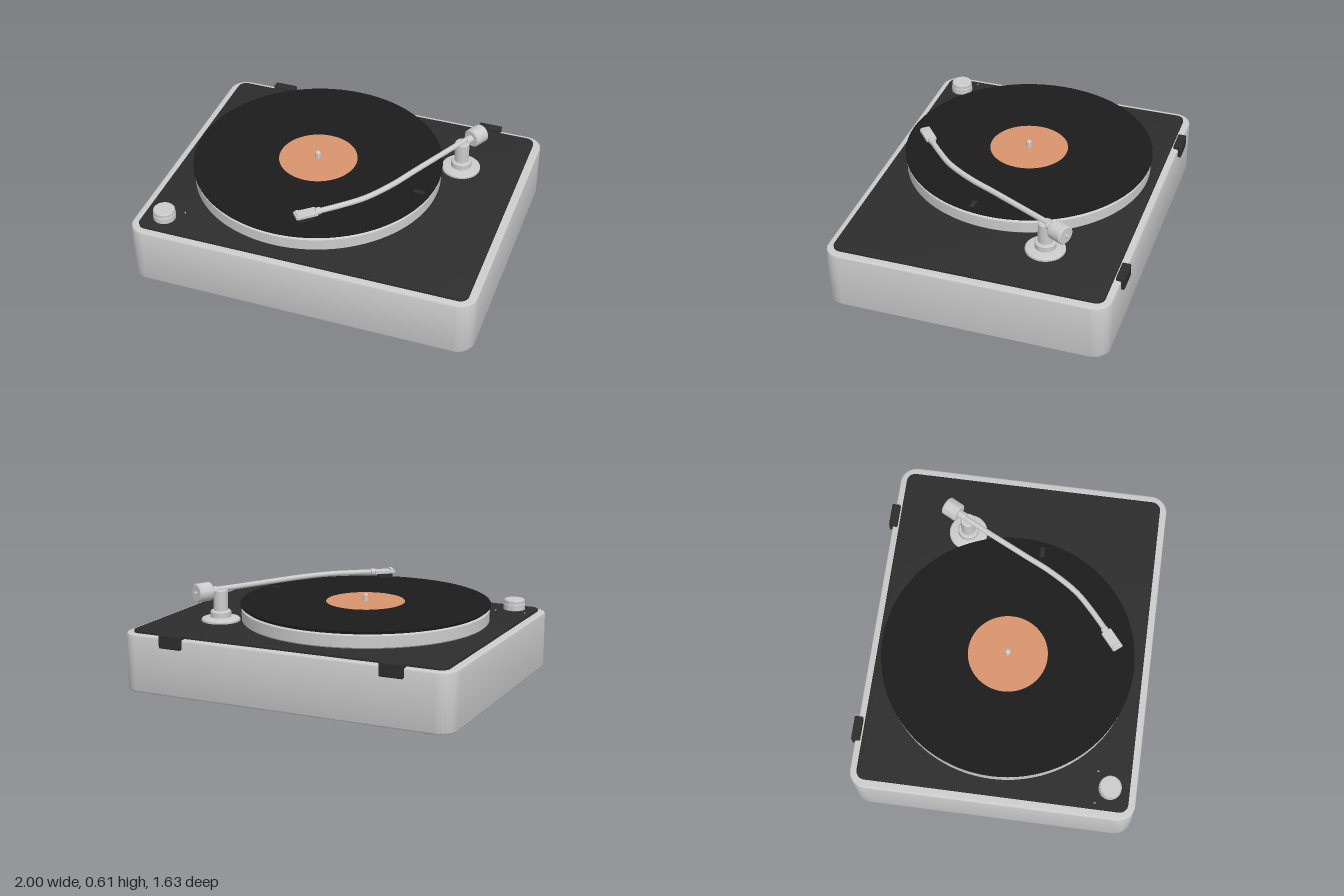
import * as THREE from 'three';
import { toCreasedNormals } from 'three/addons/utils/BufferGeometryUtils.js';
import { RoundedBoxGeometry } from 'three/addons/geometries/RoundedBoxGeometry.js';

const mat = (color) => new THREE.MeshStandardMaterial({ color });

export function createModel() {
  const root = new THREE.Group();
  const grey = mat(0xcccccc), black = mat(0x2d2d2d), vinyl = mat(0x1b1b1b), copper = mat(0xd8946e);

  const add = (name, geometry, material, x = 0, y = 0, z = 0, parent = root) => {
    const mesh = new THREE.Mesh(geometry, material);
    mesh.name = name;
    mesh.position.set(x, y, z);
    parent.add(mesh);
    return mesh;
  };

  // Upright slab with rounded corners and bevelled top and bottom edges
  const slab = (w, d, h, r, bevel) => {
    const a = w / 2 - bevel, b = d / 2 - bevel, k = r - bevel, q = Math.PI / 2;
    const s = new THREE.Shape();
    s.absarc(a - k, b - k, k, 0, q);
    s.absarc(-a + k, b - k, k, q, 2 * q);
    s.absarc(-a + k, -b + k, k, 2 * q, 3 * q);
    s.absarc(a - k, -b + k, k, 3 * q, 4 * q);
    const g = new THREE.ExtrudeGeometry(s, {
      depth: h - 2 * bevel, bevelEnabled: true, bevelSize: bevel, bevelThickness: bevel,
      bevelSegments: 3, curveSegments: 10,
    });
    g.rotateX(-Math.PI / 2).translate(0, bevel, 0);
    return toCreasedNormals(g, 0.6);
  };

  // Solid of revolution from [radius, height] pairs, bottom to top
  const turned = (points, segments = 48) => toCreasedNormals(
    new THREE.LatheGeometry(points.map(([r, y]) => new THREE.Vector2(r, y)), segments), 0.6);
  const disc = (r, h, bevel, segments) => turned(
    [[0, 0], [r - bevel, 0], [r, bevel], [r, h - bevel], [r - bevel, h], [0, h]], segments);

  // Plinth and top plate
  add('plinth', slab(2, 1.61, 0.335, 0.1, 0.01), grey, 0, 0.025, 0.01);
  add('topPlate', slab(1.908, 1.53, 0.026, 0.05, 0.005), black, 0, 0.35, 0.01);

  // Feet
  for (const x of [-0.84, 0.84]) for (const z of [-0.65, 0.67]) {
    add('foot', disc(0.076, 0.03, 0.006, 32), grey, x, 0, z);
  }

  // Lid hinges at the back edge
  for (const x of [-0.667, 0.667]) {
    add('hinge', new RoundedBoxGeometry(0.138, 0.08, 0.05, 2, 0.008), black, x, 0.344, -0.79);
  }

  // Platter stack and record
  const deck = new THREE.Group();
  deck.name = 'platterAssembly';
  deck.position.set(-0.155, 0, 0);
  root.add(deck);
  add('subPlatter', disc(0.286, 0.03, 0.003, 64), black, 0, 0.37, 0, deck);
  add('platter', disc(0.712, 0.078, 0.007, 96), grey, 0, 0.394, 0, deck);
  add('mat', disc(0.7, 0.016, 0.002, 96), vinyl, 0, 0.47, 0, deck);
  add('record', disc(0.719, 0.012, 0.003, 96), vinyl, 0, 0.484, 0, deck);
  add('recordLabel', disc(0.227, 0.004, 0.001, 64), copper, 0, 0.494, 0, deck);
  add('spindle', disc(0.015, 0.05, 0.005, 20), grey, 0, 0.488, 0, deck);
  add('recordMark', new THREE.BoxGeometry(0.065, 0.002, 0.028), black, 0.645, 0.4965, 0.117, deck);

  // Control knob with its two position ticks
  add('knob', turned([[0, 0], [0.06, 0], [0.064, 0.004], [0.064, 0.036], [0.061, 0.04],
    [0.061, 0.059], [0.056, 0.065], [0, 0.065]]), grey, -0.83, 0.375, 0.663);
  for (const x of [-0.921, -0.738]) {
    add('knobTick', new THREE.BoxGeometry(0.006, 0.002, 0.012), grey, x, 0.3765, 0.588);
  }

  // Tonearm pedestal
  add('tonearmBase', turned([[0, 0], [0.112, 0], [0.112, 0.012], [0.106, 0.018], [0.06, 0.024],
    [0.06, 0.055], [0.054, 0.063], [0.042, 0.063], [0.042, 0.178], [0.037, 0.184], [0, 0.184]]),
  grey, 0.61, 0.375, -0.337);

  // Curved arm tube
  const path = new THREE.CatmullRomCurve3([
    [0.65, 0.561, -0.41], [0.61, 0.561, -0.337], [0.54, 0.56, -0.2], [0.43, 0.559, 0.02],
    [0.35, 0.557, 0.18], [0.245, 0.555, 0.34], [0.14, 0.553, 0.445], [0.03, 0.551, 0.54],
  ].map((p) => new THREE.Vector3(...p)));
  add('armTube', new THREE.TubeGeometry(path, 64, 0.016, 14), grey);

  // Counterweight, its axis in line with the rear of the arm
  const weight = new THREE.Group();
  weight.name = 'counterweight';
  weight.position.set(0.668, 0.555, -0.433);
  weight.quaternion.setFromUnitVectors(new THREE.Vector3(0, 1, 0),
    new THREE.Vector3(0.47, 0, -0.883).normalize());
  root.add(weight);
  add('weightBody', disc(0.054, 0.094, 0.007, 36), grey, 0, -0.047, 0, weight);
  add('weightStub', disc(0.01, 0.02, 0.002, 16), grey, 0, 0.04, 0, weight);
  add('weightCollar', disc(0.024, 0.05, 0.004, 24), grey, 0, -0.09, 0, weight);

  // Headshell, cartridge and finger lift; local +z points to the tip
  const head = new THREE.Group();
  head.name = 'headshell';
  head.position.set(-0.016, 0.551, 0.575);
  head.rotation.y = Math.atan2(-0.77, 0.64);
  root.add(head);
  add('shell', new RoundedBoxGeometry(0.062, 0.022, 0.125, 2, 0.004), grey, 0, 0, 0, head);
  add('cartridge', new RoundedBoxGeometry(0.046, 0.03, 0.085, 2, 0.003), black, 0, -0.024, 0.005, head);
  add('fingerLift', new RoundedBoxGeometry(0.05, 0.012, 0.02, 2, 0.003), grey, 0, 0.014, 0.045, head);
  const collar = add('armCollar', disc(0.021, 0.03, 0.002, 20), grey, 0, 0, -0.085, head);
  collar.rotation.x = Math.PI / 2;

  return root;
}
